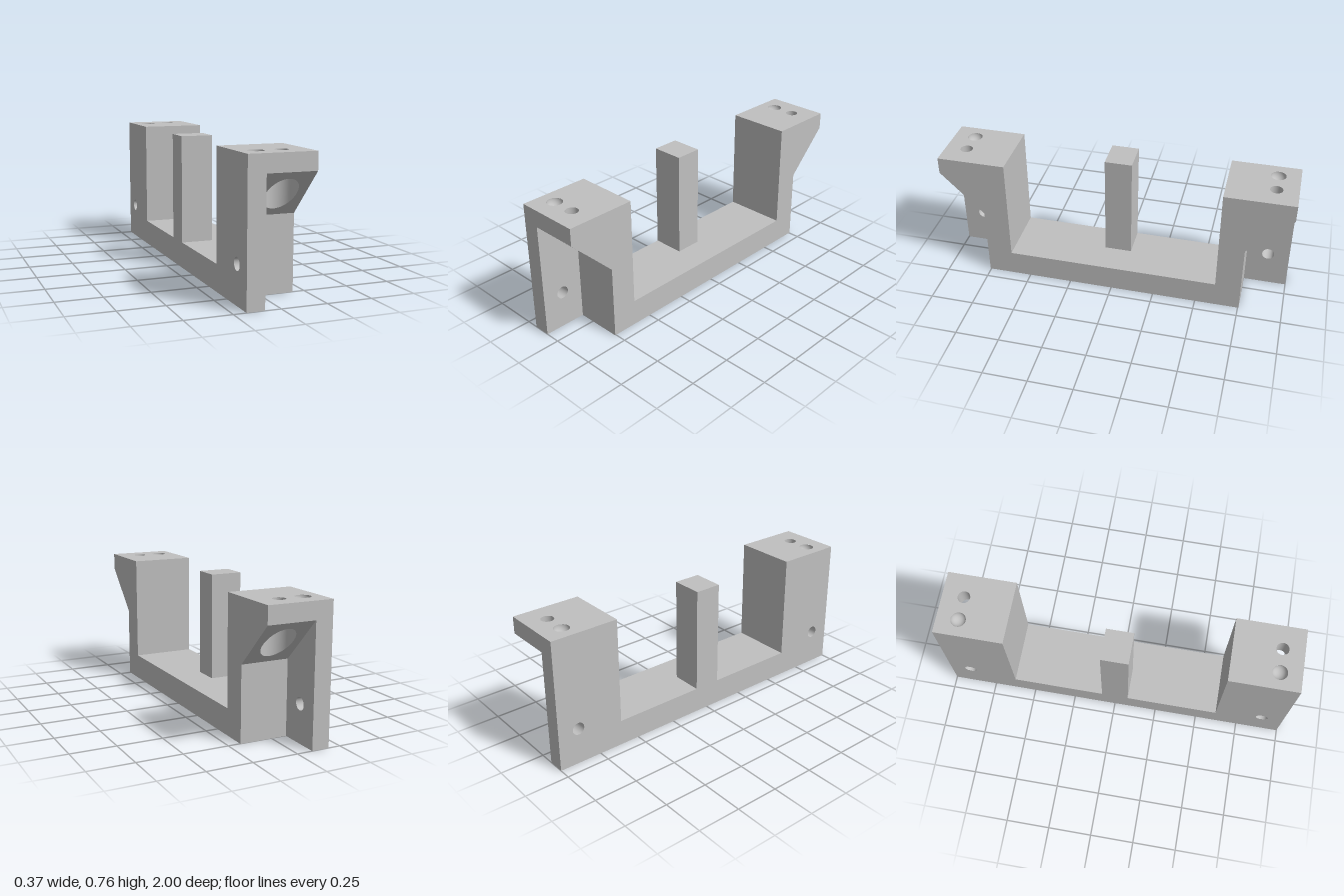
import * as THREE from 'three';
import { mergeGeometries } from 'three/addons/utils/BufferGeometryUtils.js';

const W = 0.1825, H = 0.756;           // half width, full height
const DECK = 0.148, INNER = 0.61;      // deck height, inner tower wall
const P = -0.086;                      // inner face of the side plate
const RZ = 0.755, RY = 0.415, SY = 0.66; // recess depth, slope start and end heights
const HZ = 0.878, BX = 0.048, DX = -0.087; // bore positions
const R = 0.035, BIG = 0.086, DIMPLE = 0.042, CEIL = 0.645;

const X = [1, 0, 0], Y = [0, 1, 0], Z = [0, 0, 1];
const neg = (a) => a.map((n) => -n);

// Flat panel: outline in (u, v), facing u x v; holes are [u, v, ru, rv]
function panel(points, u, v, origin, holes = []) {
  const shape = new THREE.Shape(points.map(([a, b]) => new THREE.Vector2(a, b)));
  for (const [a, b, ru, rv] of holes) {
    shape.holes.push(new THREE.Path().absellipse(a, b, ru, rv, 0, Math.PI * 2, true));
  }
  const U = new THREE.Vector3(...u), V = new THREE.Vector3(...v);
  const m = new THREE.Matrix4().makeBasis(U, V, U.clone().cross(V)).setPosition(...origin);
  return new THREE.ShapeGeometry(shape, 24).applyMatrix4(m);
}
const rect = (a0, b0, a1, b1) => [[a0, b0], [a1, b0], [a1, b1], [a0, b1]];

// Reverse the corner order of every triangle
function swapOrder(g) {
  const a = g.index.array;
  for (let i = 0; i < a.length; i += 3) [a[i], a[i + 1]] = [a[i + 1], a[i]];
  return g;
}
// Turn a surface inside out
function inward(g) {
  const n = g.attributes.normal;
  for (let i = 0; i < n.array.length; i++) n.array[i] *= -1;
  return swapOrder(g);
}
// Copy across z = 0
function mirrored(g) {
  const c = g.clone();
  for (const k of ['position', 'normal']) {
    const a = c.attributes[k];
    for (let i = 0; i < a.count; i++) a.setZ(i, -a.getZ(i));
  }
  return swapOrder(c);
}
const bore = (r, length) => inward(new THREE.CylinderGeometry(r, r, length, 48, 1, true));

export function createModel() {
  const group = new THREE.Group();
  const grey = new THREE.MeshStandardMaterial({ color: 0xc0c0c0 });
  grey.name = 'grey';

  const addPair = (name, geometry) => {
    for (const [end, g] of [['front', geometry], ['back', mirrored(geometry)]]) {
      const mesh = new THREE.Mesh(g, grey);
      mesh.name = end + name;
      group.add(mesh);
    }
  };

  // Base deck and tower sides for one half of the bracket
  addPair('Frame', mergeGeometries([
    panel([[0, 0], [1, 0], [1, H], [INNER, H], [INNER, DECK], [0, DECK]],
      Z, Y, [-W, 0, 0], [[HZ, 0.21, R, R]]),
    panel([[0, 0], [0, DECK], [-INNER, DECK], [-INNER, H], [-1, H], [-1, SY], [-RZ, RY], [-RZ, 0]],
      neg(Z), Y, [W, 0, 0]),
    panel([[-W, 0], [W, 0], [W, RZ], [P, RZ], [P, 1], [-W, 1]], X, Z, [0, 0, 0]),
    panel(rect(-W, -INNER, W, 0), X, neg(Z), [0, DECK, 0]),
    panel(rect(-W, DECK, W, H), neg(X), Y, [0, 0, INNER]),
    panel(rect(-W, -1, W, -INNER), X, neg(Z), [0, H, 0],
      [[BX, -HZ, R, R], [DX, -HZ, DIMPLE, DIMPLE]]),
    panel([[-W, 0], [P, 0], [P, SY], [W, SY], [W, H], [-W, H]], X, Y, [0, 0, 1]),
  ]));

  // Corner recess: plate face, back wall and sloped underside
  const s = Math.SQRT1_2, slope = (1 - RZ) / s;
  addPair('Recess', mergeGeometries([
    panel([[-1, 0], [-RZ, 0], [-RZ, RY], [-1, SY]], neg(Z), Y, [P, 0, 0], [[-HZ, 0.21, R, R]]),
    panel(rect(P, 0, W, RY), X, Y, [0, 0, RZ]),
    panel(rect(P, 0, W, slope), X, [0, s, s], [0, RY, RZ],
      [[BX, (HZ - RZ) / s, BIG, BIG / s]]),
  ]));

  // Cross hole through the side plate
  addPair('PlateHole', bore(R, P + W).rotateZ(Math.PI / 2).translate((P - W) / 2, 0.21, HZ));

  // Vertical screw hole from the top
  addPair('ScrewHole', bore(R, H - CEIL).translate(BX, (H + CEIL) / 2, HZ));

  // Wide counterbore, its lower rim cut to the slope
  const wide = bore(BIG, 1).translate(BX, CEIL - 0.5, HZ);
  const pos = wide.attributes.position;
  for (let i = 0; i < pos.count; i++) {
    if (pos.getY(i) < CEIL - 0.5) pos.setY(i, RY + pos.getZ(i) - RZ);
  }
  const ceiling = inward(new THREE.RingGeometry(R, BIG, 48).rotateX(-Math.PI / 2))
    .translate(BX, CEIL, HZ);
  addPair('Counterbore', mergeGeometries([wide, ceiling]));

  // Round dimple in the top
  addPair('Dimple', inward(new THREE.SphereGeometry(DIMPLE, 32, 12, 0, Math.PI * 2, Math.PI / 2, Math.PI / 2))
    .translate(DX, H, HZ));

  // Central post
  const post = new THREE.Mesh(new THREE.BoxGeometry(W, H - DECK, 0.156), grey);
  post.name = 'centrePost';
  post.position.set(-W / 2, (H + DECK) / 2, 0);
  group.add(post);

  return group;
}
